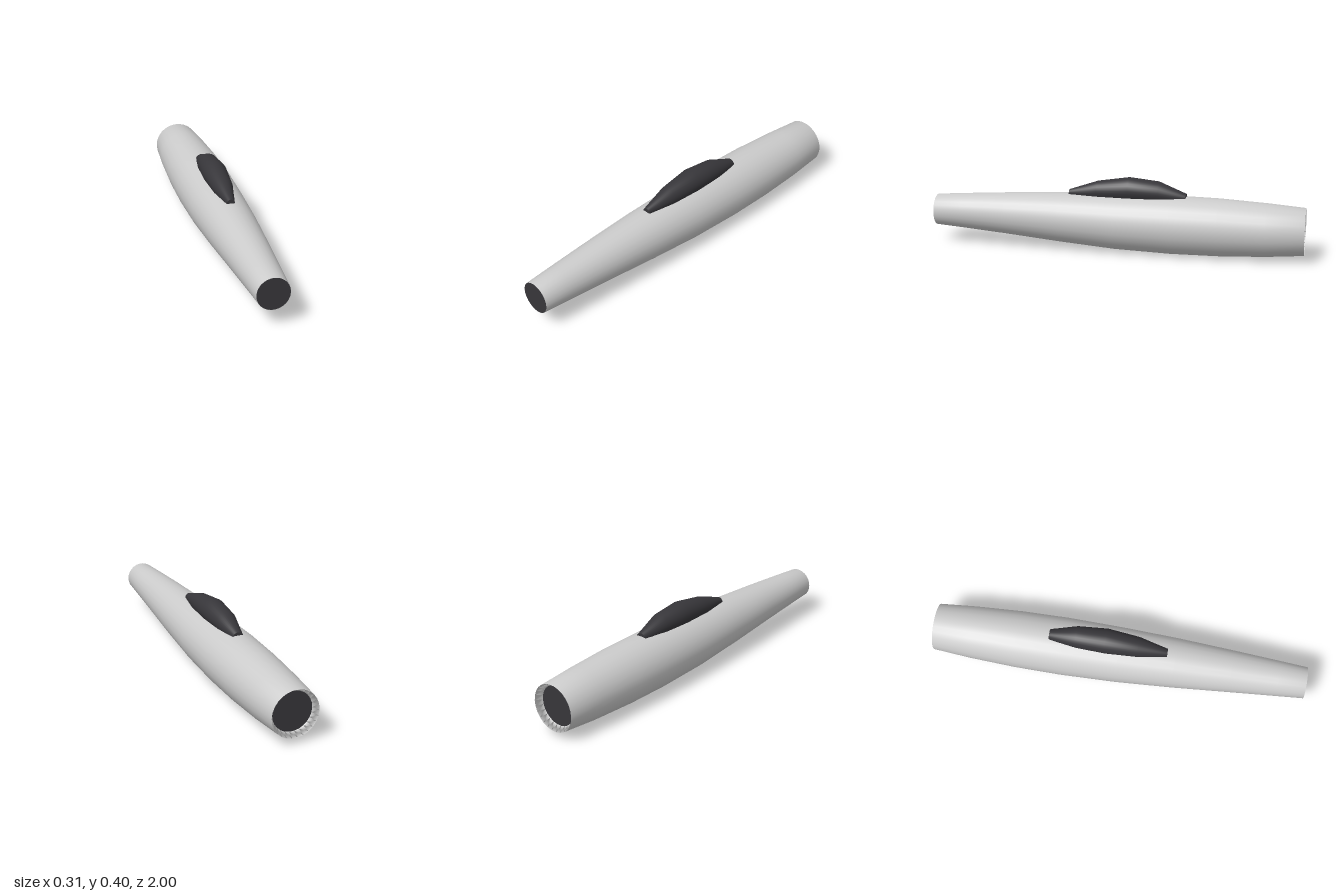
import * as THREE from 'three';
import { ParametricGeometry } from 'three/addons/geometries/ParametricGeometry.js';

const SIDES = 26;
const grey = new THREE.MeshStandardMaterial({ color: 0xcccccc, side: THREE.DoubleSide });
const dark = new THREE.MeshStandardMaterial({ color: 0x37363a, side: THREE.DoubleSide });

// Fuselage stations from rear to front: z, radius, centre height
const stations = [
  [-0.965, 0.105, 0.155], // recessed inner edge of the rear rim
  [-1, 0.125, 0.155],
  [-0.8, 0.141, 0.154],
  [-0.55, 0.153, 0.155],
  [-0.3, 0.156, 0.156],
  [0, 0.149, 0.158],
  [0.3, 0.134, 0.166],
  [0.6, 0.113, 0.172],
  [0.85, 0.095, 0.174],
  [1, 0.084, 0.174],
  [0.996, 0.07, 0.174], // small lip behind the front disc
];

// Canopy stations from front to rear: z, top height, half width
const canopyStations = [
  [0.255, 0.322, 0.022],
  [0.1, 0.375, 0.053],
  [-0.07, 0.402, 0.066],
  [-0.23, 0.386, 0.057],
  [-0.375, 0.327, 0.031],
];
const CANOPY_BASE = 0.3;

function mesh(name, geometry, material) {
  const m = new THREE.Mesh(geometry, material);
  m.name = name;
  return m;
}

// Turned body laid along z, each ring lifted to its own centre height
function fuselageGeometry() {
  const profile = stations.map(([z, r]) => new THREE.Vector2(r, z));
  const g = new THREE.LatheGeometry(profile, SIDES, Math.PI / SIDES);
  g.rotateX(Math.PI / 2);
  const p = g.attributes.position;
  for (let i = 0; i < p.count; i++) {
    p.setY(i, p.getY(i) + stations[i % stations.length][2]);
  }
  return g;
}

function disc(name, r, y, z, rotY) {
  const m = mesh(name, new THREE.CircleGeometry(r, SIDES, Math.PI / 2 + Math.PI / SIDES), dark);
  m.position.set(0, y, z);
  m.rotation.y = rotY;
  return m;
}

// Round canopy section cut off flat at the base
function canopyArc([z, top, r]) {
  const cy = top - r;
  const start = Math.asin((CANOPY_BASE - cy) / r);
  return { z, r, cy, start, sweep: Math.PI - 2 * start };
}

function canopyShell() {
  const n = canopyStations.length - 1;
  const g = new ParametricGeometry((u, v, target) => {
    const f = Math.min(Math.max(v, 0), 1) * n;
    const i = Math.min(Math.floor(f + 1e-6), n - 1);
    const a = canopyStations[i];
    const b = canopyStations[i + 1];
    const s = canopyArc(a.map((value, k) => value + (b[k] - value) * (f - i)));
    const t = s.start + s.sweep * u;
    target.set(Math.cos(t) * s.r, s.cy + Math.sin(t) * s.r, s.z);
  }, 20, n);
  // reverse the winding so the shell faces outward
  const index = g.index.array;
  for (let i = 0; i < index.length; i += 3) {
    [index[i], index[i + 1]] = [index[i + 1], index[i]];
  }
  // make sure the crown points up whatever the starting winding
  g.computeVertexNormals();
  if (g.attributes.normal.getY(21 * 2 + 10) < 0) {
    for (let i = 0; i < index.length; i += 3) {
      [index[i], index[i + 1]] = [index[i + 1], index[i]];
    }
    g.computeVertexNormals();
  }
  return g;
}

function canopyEnd(name, station, back) {
  const s = canopyArc(station);
  const shape = new THREE.Shape();
  shape.absarc(0, s.cy, s.r, s.start, s.start + s.sweep, false);
  const m = mesh(name, new THREE.ShapeGeometry(shape, 10), dark);
  m.position.z = s.z;
  if (back) m.rotation.y = Math.PI;
  return m;
}

export function createModel() {
  const model = new THREE.Group();
  model.name = 'enginePod';

  model.add(mesh('fuselage', fuselageGeometry(), grey));
  model.add(disc('frontDisc', 0.083, 0.174, 1, 0));
  model.add(disc('rearDisc', 0.105, 0.155, -0.965, Math.PI));

  // Canopy on top of the body
  const canopy = new THREE.Group();
  canopy.name = 'canopy';
  canopy.add(mesh('canopyShell', canopyShell(), dark));
  canopy.add(canopyEnd('canopyFront', canopyStations[0], false));
  canopy.add(canopyEnd('canopyRear', canopyStations[canopyStations.length - 1], true));
  model.add(canopy);

  return model;
}
